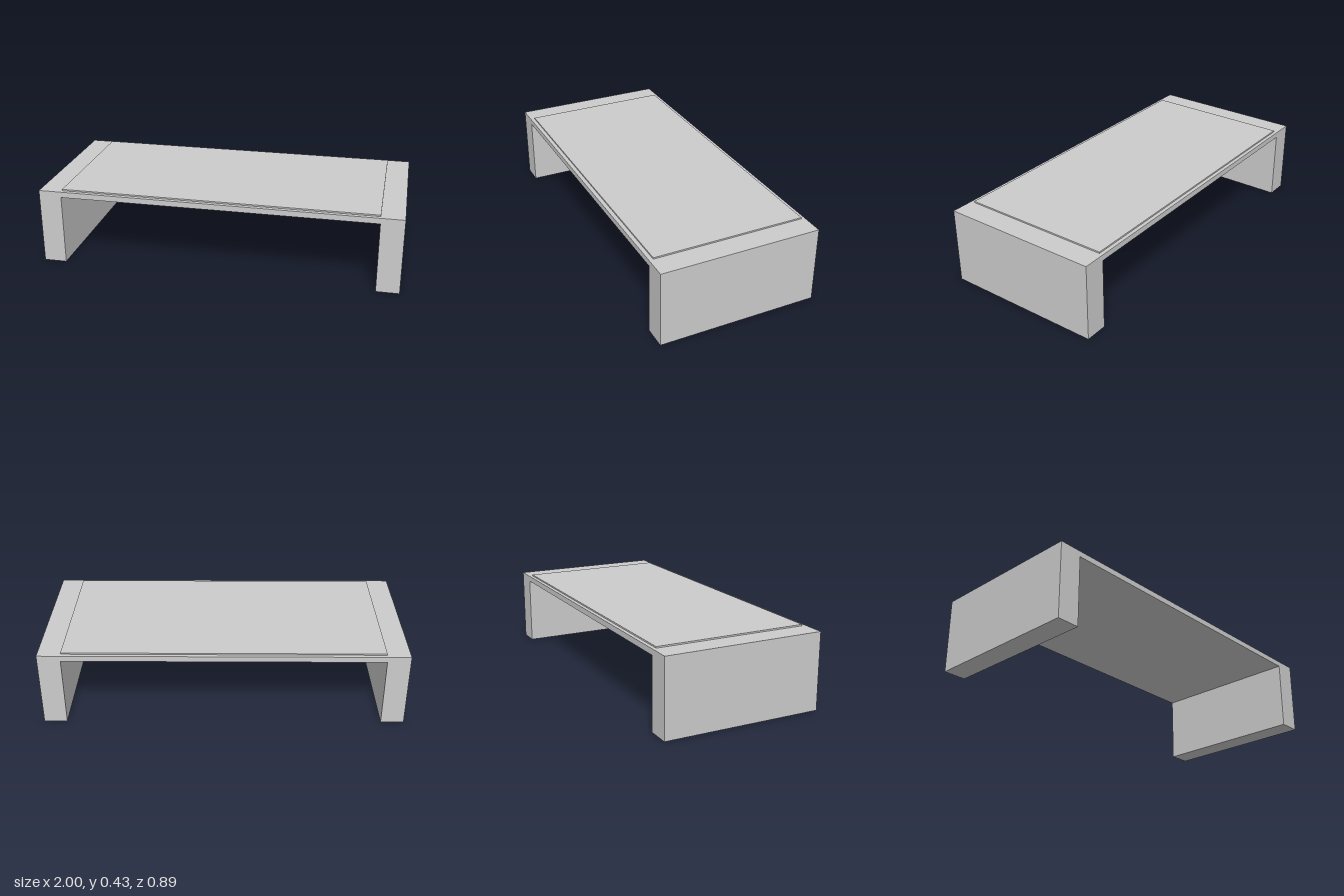
import * as THREE from 'three';

export function createModel() {
  const group = new THREE.Group();
  const material = new THREE.MeshStandardMaterial({ color: 0xcccccc, flatShading: true });

  const halfWidth = 1, innerX = 0.873, depth = 0.89;
  const topY = 0.426, undersideY = 0.394;

  // Table body: two slab legs and the top as one bridge-shaped profile
  const profile = new THREE.Shape([
    [-halfWidth, 0], [-innerX, 0], [-innerX, undersideY], [innerX, undersideY],
    [innerX, 0], [halfWidth, 0], [halfWidth, topY], [-halfWidth, topY],
  ].map(([x, y]) => new THREE.Vector2(x, y)));
  const bodyGeometry = new THREE.ExtrudeGeometry(profile, { depth, bevelEnabled: false });
  bodyGeometry.translate(0, 0, -depth / 2);
  const body = new THREE.Mesh(bodyGeometry, material);
  body.name = 'tableBody';
  group.add(body);

  // Thin panel lying on the top, slightly sunk in
  const panelTop = 0.434, panelBottom = 0.42;
  const panel = new THREE.Mesh(
    new THREE.BoxGeometry(innerX * 2, panelTop - panelBottom, 0.846), material);
  panel.position.set(0, (panelTop + panelBottom) / 2, -0.001);
  panel.name = 'topPanel';
  group.add(panel);

  return group;
}
